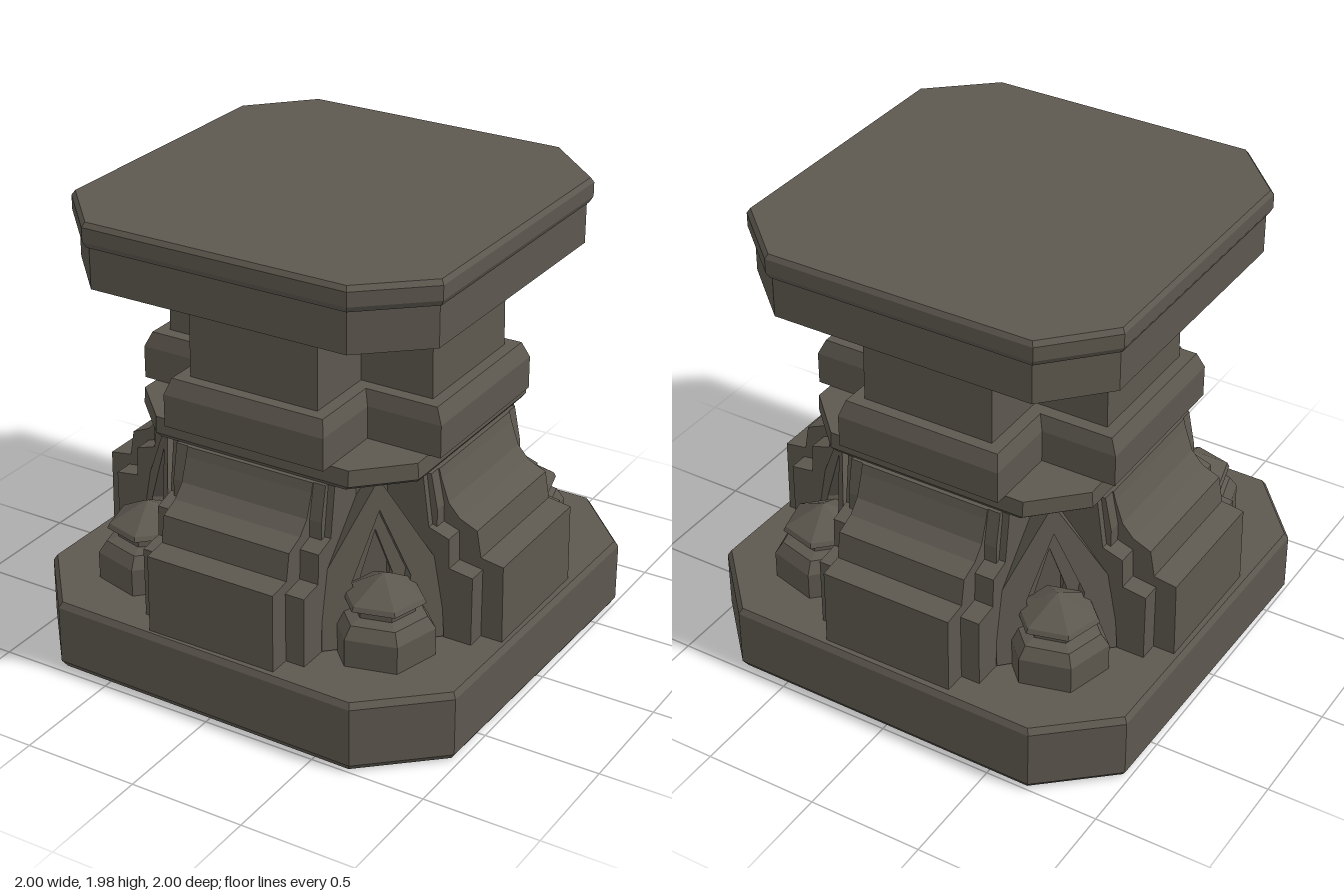
import * as THREE from 'three';

const stone = new THREE.MeshStandardMaterial({ color: 0x5d584f, flatShading: true });
stone.name = 'dark stone';

// Plans, listed clockwise as seen from above
const octagon = (h, c) => [[-c, -h], [c, -h], [h, -c], [h, c], [c, h], [-c, h], [-h, c], [-h, -c]];
const cross = (h, w) => [
  [-w, -h], [w, -h], [w, -w], [h, -w], [h, w], [w, w],
  [w, h], [-w, h], [-w, w], [-h, w], [-h, -w], [-w, -w],
];
const scaled = (plan, s) => plan.map(([x, z]) => [x * s, z * s]);

// Stacks plans at given heights and caps both ends
function loft(levels) {
  const out = [];
  const at = (level, i) => {
    const [y, plan] = level;
    const [x, z] = plan[i % plan.length];
    return [x, y, z];
  };
  const n = levels[0][1].length;
  const last = levels[levels.length - 1];
  for (let i = 0; i < n; i++) {
    for (let k = 0; k < levels.length - 1; k++) {
      const a = at(levels[k], i), b = at(levels[k], i + 1);
      const c = at(levels[k + 1], i + 1), d = at(levels[k + 1], i);
      out.push(...b, ...a, ...d, ...b, ...d, ...c);
    }
    out.push(0, levels[0][0], 0, ...at(levels[0], i), ...at(levels[0], i + 1));
    out.push(0, last[0], 0, ...at(last, i + 1), ...at(last, i));
  }
  const geo = new THREE.BufferGeometry();
  geo.setAttribute('position', new THREE.Float32BufferAttribute(out, 3));
  geo.computeVertexNormals();
  return geo;
}

const toShape = (pts) => new THREE.Shape(pts.map(([x, y]) => new THREE.Vector2(x, y)));

// Stepped buttress pointing to +x, extruded across its width
function buttress(profile, halfWidth) {
  const geo = new THREE.ExtrudeGeometry(toShape([[0, 0.3], ...profile, [0, 1.01]]),
    { depth: halfWidth * 2, bevelEnabled: false });
  return geo.translate(0, 0, -halfWidth);
}

// Pointed panel with a pointed opening
function gable(outline, opening, depth) {
  const shape = toShape(outline);
  shape.holes.push(new THREE.Path(opening.map(([x, y]) => new THREE.Vector2(x, y))));
  return new THREE.ExtrudeGeometry(shape, { depth, bevelEnabled: false });
}

export function createModel() {
  const model = new THREE.Group();
  const add = (name, geo, parent = model) => {
    const mesh = new THREE.Mesh(geo, stone);
    mesh.name = name;
    parent.add(mesh);
    return mesh;
  };

  // Slightly uneven chamfered plinth
  const basePlan = [[-0.69, -1], [0.72, -0.985], [1, -0.69], [0.98, 0.72],
    [0.67, 1], [-0.74, 0.975], [-1, 0.67], [-0.985, -0.74]];
  add('plinth', loft([[0, scaled(basePlan, 0.98)], [0.03, basePlan],
    [0.285, basePlan], [0.31, scaled(basePlan, 0.985)]]));

  // Core behind the corner niches
  add('core', loft([[0.3, octagon(0.62, 0.23)], [1.01, octagon(0.62, 0.23)]]));

  // Stepped buttresses on the four sides, a narrow one in front of a wider one
  const front = [[0.955, 0.3], [0.95, 0.65], [0.85, 0.665], [0.83, 0.78],
    [0.75, 0.815], [0.7, 0.87], [0.665, 0.97], [0.655, 1.01]];
  const lower = [[0.86, 0.3], [0.86, 0.615], [0.755, 0.63], [0.75, 0.76], [0.66, 0.79], [0.63, 1.01]];
  const upper = [[0.68, 0.3], [0.68, 0.86], [0.65, 1.01]];
  for (let k = 0; k < 4; k++) {
    const side = new THREE.Group();
    side.name = 'sideButtress';
    side.rotation.y = k * Math.PI / 2;
    add('frontStep', buttress(front, 0.295), side);
    add('rearStep', buttress(lower, 0.38), side);
    add('upperPier', buttress(upper, 0.35), side);
    model.add(side);
  }

  // Corner niches with a bud finial on a small pedestal
  const outline = [[-0.25, 0], [0.25, 0], [0.24, 0.31], [0, 0.7], [-0.24, 0.31]];
  const opening = [[-0.09, 0.12], [-0.12, 0.28], [0, 0.57], [0.12, 0.28], [0.09, 0.12]];
  const innerOpening = [[-0.05, 0.14], [-0.065, 0.27], [0, 0.46], [0.065, 0.27], [0.05, 0.14]];
  const bud = [[0, 0.3], [0.215, 0.3], [0.215, 0.43], [0.18, 0.48], [0.13, 0.495],
    [0.13, 0.52], [0.175, 0.54], [0.165, 0.56], [0.05, 0.625], [0, 0.65]];
  for (let k = 0; k < 4; k++) {
    const corner = new THREE.Group();
    corner.name = 'cornerNiche';
    corner.rotation.y = Math.PI / 4 + k * Math.PI / 2;
    const frame = new THREE.Group();
    frame.name = 'nicheFrame';
    frame.position.set(0, 0.31, 0.72);
    frame.rotation.x = -0.13;
    add('outerGable', gable(outline, opening, 0.08), frame);
    add('innerGable', gable(outline, innerOpening, 0.05), frame).position.z = -0.05;
    corner.add(frame);
    const finial = new THREE.LatheGeometry(bud.map(([r, y]) => new THREE.Vector2(r, y)), 6);
    add('budFinial', finial, corner).position.z = 0.8;
    model.add(corner);
  }

  // Ledge, belt, shaft and neck mouldings
  add('ledge', loft([[1.01, octagon(0.635, 0.43)], [1.03, octagon(0.65, 0.45)],
    [1.1, octagon(0.645, 0.45)]]));
  add('belt', loft([[1.1, cross(0.7, 0.37)], [1.24, cross(0.7, 0.37)], [1.305, cross(0.67, 0.35)]]));
  add('shaft', loft([[1.29, cross(0.62, 0.295)], [1.61, cross(0.615, 0.295)]]));
  add('neckRing', loft([[1.6, cross(0.665, 0.335)], [1.63, cross(0.665, 0.335)]]));
  add('neck', loft([[1.62, cross(0.635, 0.32)], [1.71, cross(0.635, 0.32)]]));

  // Two-step capital slab with uneven corners
  const capPlan = [[-0.6, -0.83], [0.58, -0.83], [0.85, -0.58], [0.845, 0.64],
    [0.58, 0.875], [-0.6, 0.875], [-0.84, 0.62], [-0.835, -0.58]];
  const lowerCap = scaled(capPlan, 0.975);
  add('capitalLower', loft([[1.7, lowerCap], [1.885, lowerCap]]));
  add('capitalTop', loft([[1.875, scaled(capPlan, 0.985)], [1.9, capPlan],
    [1.96, capPlan], [1.98, scaled(capPlan, 0.985)]]));

  return model;
}
